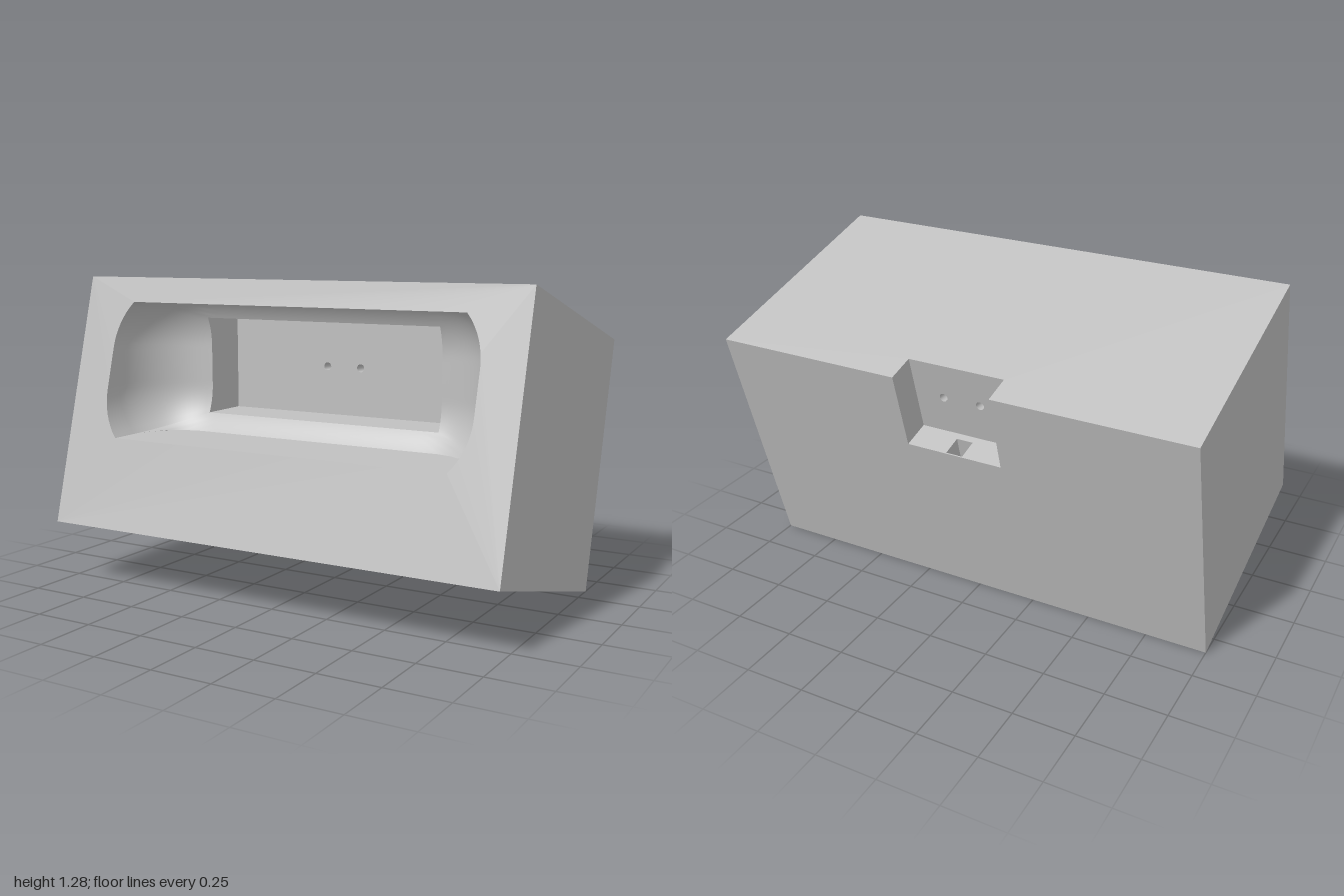
import * as THREE from 'three';

const TILT = -Math.PI / 12, CY = 0.643;           // block leans back 15 degrees
const H = 0.53, D = 0.5;                          // half height and half depth of block
const R = 0.285, HX = 0.545, MID = 0.905;         // recess rounding, pocket half width, recess centre height
const FLOOR = 0.625, CEIL = 1.182, P0 = 0.70, P1 = 1.11, POCKET_Z = -0.08;
const NX = 0.205, NY = 0.2, NZ = -0.38;           // notch half width, floor and wall
const HOLE_X = 0.08, HOLE_R = 0.017;

const { cos, sin, abs, max, min, sqrt } = Math;
const lerp = THREE.MathUtils.lerp;

// surface from a rule fn(u, v) -> [x, y, z]
function grid(fn, nu = 1, nv = 1) {
  const g = new THREE.PlaneGeometry(1, 1, nu, nv);
  const p = g.attributes.position, uv = g.attributes.uv;
  for (let i = 0; i < p.count; i++) p.setXYZ(i, ...fn(uv.getX(i), uv.getY(i)));
  g.computeVertexNormals();
  return g;
}

function polygon(points, holes = []) {
  const s = new THREE.Shape(points.map(([x, y]) => new THREE.Vector2(x, y)));
  s.holes.push(...holes);
  return new THREE.ShapeGeometry(s, 24);
}

function ellipse(x, y, rx, ry) {
  return new THREE.Path().absellipse(x, y, rx, ry, 0, Math.PI * 2);
}

// front face depth at a given height
const frontZ = y => {
  const ly = (y - CY - D * sin(-TILT)) / cos(TILT);
  return D * cos(TILT) + ly * sin(TILT);
};

// rounded back of the recess
const bowlZ = (x, y) => {
  const dx = max(abs(x) - HX, 0), dy = max(abs(y - MID) - 0.085, 0);
  return min(0.40 - sqrt(max(R * R - dx * dx - dy * dy, 0)), frontZ(y));
};
const sideX = y => HX + sqrt(R * R - max(abs(y - MID) - 0.085, 0) ** 2);

// matching points on the pocket edge and the opening edge: bottom, right, top, left
function inner(k, s) {
  return [[lerp(-HX, HX, s), P0], [HX, lerp(P0, P1, s)],
    [lerp(HX, -HX, s), P1], [-HX, lerp(P1, P0, s)]][k];
}
function outer(k, s) {
  const up = lerp(FLOOR, CEIL, s), down = lerp(CEIL, FLOOR, s);
  const b = sideX(FLOOR), t = sideX(CEIL);
  return [[lerp(-b, b, s), FLOOR], [sideX(up), up],
    [lerp(t, -t, s), CEIL], [-sideX(down), down]][k];
}

export function createModel() {
  const model = new THREE.Group();
  model.name = 'tiltedHousing';
  const grey = new THREE.MeshStandardMaterial({ color: 0xc0c0c0, side: THREE.DoubleSide });
  grey.name = 'lightGrey';
  const add = (parent, name, geometry) => {
    const m = new THREE.Mesh(geometry, grey);
    m.name = name;
    parent.add(m);
    return m;
  };

  // block shell, in its own tilted frame
  const block = new THREE.Group();
  block.name = 'block';
  block.position.y = CY;
  block.rotation.x = TILT;
  model.add(block);

  const opening = [];
  for (let k = 0; k < 4; k++) {
    for (let i = 0; i < 24; i++) {
      const [x, y] = outer(k, i / 24);
      opening.push(new THREE.Vector2(x, (y - CY - D * sin(-TILT)) / cos(TILT)));
    }
  }
  add(block, 'frontFace', polygon([[-1, -H], [1, -H], [1, H], [-1, H]], [new THREE.Path(opening)]).translate(0, 0, D));
  add(block, 'backFace', polygon([[-1, -H], [1, -H], [1, H], [NX, H], [NX, NY], [-NX, NY], [-NX, H], [-1, H]])
    .rotateY(Math.PI).translate(0, 0, -D));
  add(block, 'topFace', polygon([[-1, -D], [1, -D], [1, D], [NX, D], [NX, -NZ], [-NX, -NZ], [-NX, D], [-1, D]])
    .rotateX(-Math.PI / 2).translate(0, H, 0));
  add(block, 'bottomFace', new THREE.PlaneGeometry(2, 2 * D).rotateX(Math.PI / 2).translate(0, -H, 0));
  for (const s of [-1, 1]) {
    add(block, s > 0 ? 'leftEnd' : 'rightEnd',
      new THREE.PlaneGeometry(2 * D, 2 * H).rotateY(s * Math.PI / 2).translate(s, 0, 0));
    add(block, 'notchSide', grid((u, v) => [s * NX, lerp(NY, H, v), lerp(-D, NZ, u)]));
  }

  // rear notch: wall with two holes, floor with a cable slot
  const holeY = (MID - CY + NZ * sin(TILT)) / cos(TILT);
  const wallZ = NZ * cos(TILT) + holeY * sin(TILT);
  add(block, 'notchWall', polygon([[-NX, NY], [NX, NY], [NX, H], [-NX, H]],
    [-1, 1].map(s => ellipse(s * HOLE_X, holeY, HOLE_R, HOLE_R / cos(TILT))))
    .rotateY(Math.PI).translate(0, 0, NZ));
  const slot = [[-0.035, 0.41], [0.035, 0.41], [0.035, 0.495], [-0.035, 0.495]];
  add(block, 'notchFloor', polygon([[-NX, -NZ], [NX, -NZ], [NX, D], [-NX, D]],
    [new THREE.Path(slot.map(p => new THREE.Vector2(...p)))]).rotateX(-Math.PI / 2).translate(0, NY, 0));
  slot.forEach((a, i) => {
    const b = slot[(i + 1) % 4];
    add(block, 'slotWall', grid((u, v) => [lerp(a[0], b[0], u), lerp(NY - 0.28, NY, v), -lerp(a[1], b[1], u)]));
  });
  add(block, 'slotFloor', polygon(slot).rotateX(-Math.PI / 2).translate(0, NY - 0.28, 0));

  // front recess: level floor and ceiling, rounded ends and back
  const recess = new THREE.Group();
  recess.name = 'recess';
  model.add(recess);
  const N = 24;
  add(recess, 'recessBack', grid((u, v) => {
    const k = min(Math.floor(u * 4 + 1e-6), 3), s = u * 4 - k, t = 1 - (1 - v) ** 2;
    const a = inner(k, s), b = outer(k, s);
    const x = lerp(a[0], b[0], t), y = lerp(a[1], b[1], t);
    return [x, y, bowlZ(x, y)];
  }, 4 * N, 20));
  ['Floor', 'Right', 'Ceiling', 'Left'].forEach((name, k) => {
    add(recess, 'recess' + name, grid((u, v) => {
      const [x, y] = outer(k, u);
      return [x, y, lerp(bowlZ(x, y), frontZ(y), v)];
    }, N, 1));
    add(recess, 'pocket' + name, grid((u, v) => {
      const [x, y] = inner(k, u);
      return [x, y, lerp(POCKET_Z, bowlZ(x, y), v)];
    }, N, 1));
  });

  // pocket back with two through holes
  add(recess, 'pocketBack', polygon([[-HX, P0], [HX, P0], [HX, P1], [-HX, P1]],
    [-1, 1].map(s => ellipse(s * HOLE_X, MID, HOLE_R, HOLE_R))).translate(0, 0, POCKET_Z));
  for (const s of [-1, 1]) {
    add(recess, 'throughHole', new THREE.CylinderGeometry(HOLE_R, HOLE_R, POCKET_Z - wallZ, 24, 1, true)
      .rotateX(Math.PI / 2).translate(s * HOLE_X, MID, (POCKET_Z + wallZ) / 2));
  }
  return model;
}
